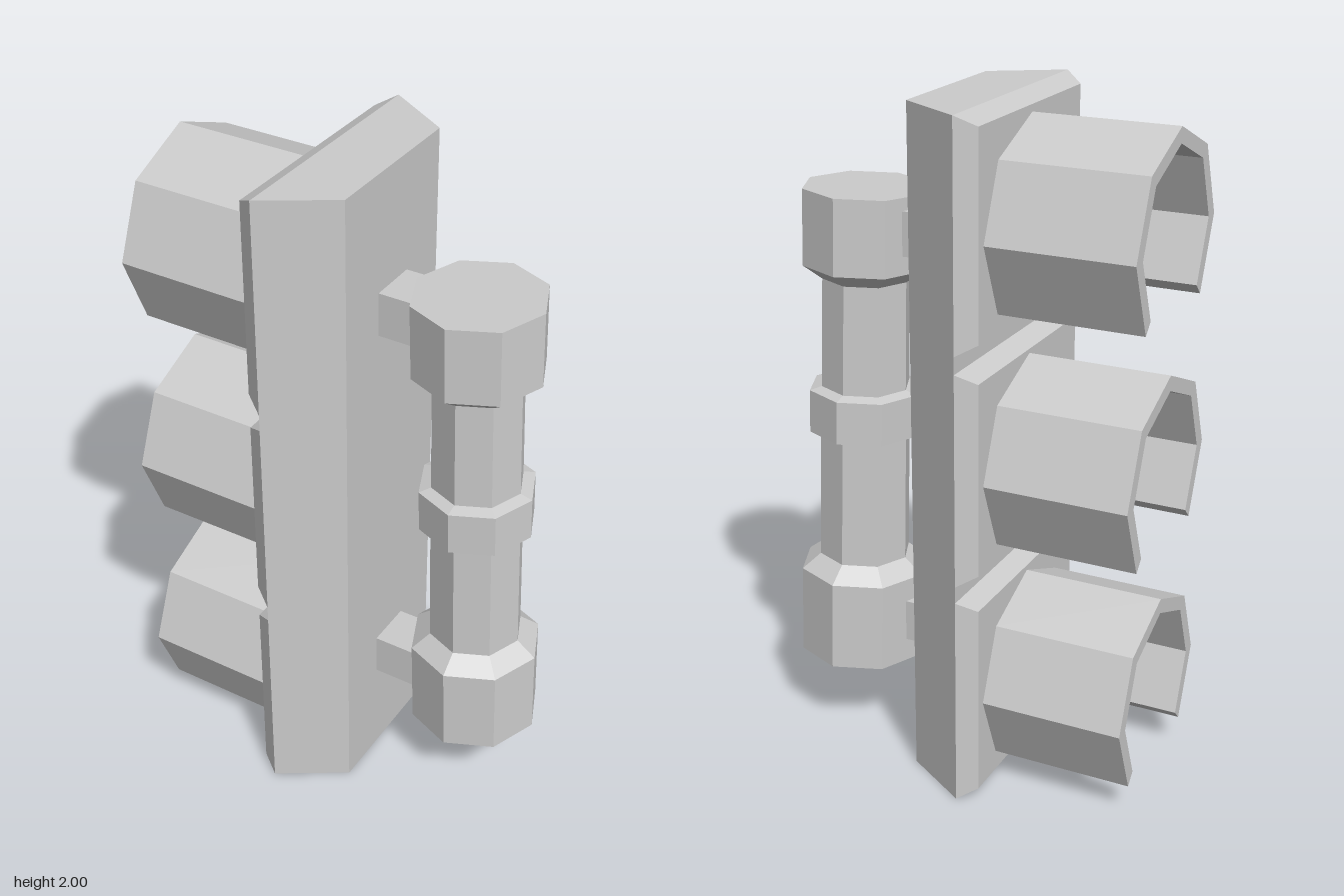
import * as THREE from 'three';

const material = new THREE.MeshStandardMaterial({ color: 0xcccccc, flatShading: true });

function add(parent, name, geometry, x = 0, y = 0, z = 0) {
  const mesh = new THREE.Mesh(geometry, material);
  mesh.name = name;
  mesh.position.set(x, y, z);
  parent.add(mesh);
  return mesh;
}

// Tapered housing extruded upward
function housingGeometry() {
  const shape = new THREE.Shape([
    new THREE.Vector2(-0.11, -0.36), new THREE.Vector2(0.087, -0.236),
    new THREE.Vector2(0.087, 0.236), new THREE.Vector2(-0.11, 0.36),
  ]);
  return new THREE.ExtrudeGeometry(shape, { depth: 2, bevelEnabled: false }).rotateX(-Math.PI / 2);
}

// Box whose -x face is inset on every side
function panelGeometry(height) {
  const inset = 0.035, depth = 0.055;
  const geometry = new THREE.BoxGeometry(depth, height, 0.72);
  const p = geometry.attributes.position;
  for (let i = 0; i < p.count; i++) {
    if (p.getX(i) > 0) continue;
    p.setY(i, p.getY(i) - Math.sign(p.getY(i)) * inset * 0.85);
    p.setZ(i, p.getZ(i) - Math.sign(p.getZ(i)) * inset);
  }
  return geometry;
}

// Six sides of an octagonal tube, open at the bottom
function visorGeometry() {
  const outer = [], inner = [];
  for (let i = 0; i <= 6; i++) {
    const a = (i - 1) * Math.PI / 4;
    outer.push(new THREE.Vector2(Math.cos(a), Math.sin(a)).multiplyScalar(0.295));
    inner.unshift(new THREE.Vector2(Math.cos(a), Math.sin(a)).multiplyScalar(0.25));
  }
  const shape = new THREE.Shape([...outer, ...inner]);
  return new THREE.ExtrudeGeometry(shape, { depth: 0.425, bevelEnabled: false }).rotateY(-Math.PI / 2);
}

// Octagonal post with collars, given as [radius, height]
function postGeometry() {
  const profile = [
    [0, 0], [0.197, 0], [0.197, 0.275], [0.14, 0.32],
    [0.137, 0.715], [0.17, 0.722], [0.17, 0.852], [0.134, 0.862],
    [0.131, 1.19], [0.188, 1.232], [0.188, 1.455], [0, 1.455],
  ];
  return new THREE.LatheGeometry(profile.map(([r, y]) => new THREE.Vector2(r, y)), 8);
}

export function createModel() {
  const model = new THREE.Group();
  model.name = 'signalLight';

  add(model, 'housing', housingGeometry());

  // Three lamps: panel bottom, panel top, lamp centre
  const lamps = [[0, 0.64, 0.3], [0.69, 1.315, 0.978], [1.365, 2, 1.655]];
  const visor = visorGeometry();
  const lens = new THREE.CylinderGeometry(0.247, 0.247, 0.06, 8).rotateZ(Math.PI / 2);
  lamps.forEach(([bottom, top, centre]) => {
    const lamp = new THREE.Group();
    lamp.name = 'lamp';
    add(lamp, 'panel', panelGeometry(top - bottom), -0.1375, (bottom + top) / 2);
    add(lamp, 'visor', visor, -0.16, centre);
    add(lamp, 'lens', lens, -0.188, centre);
    model.add(lamp);
  });

  // Slightly leaning post
  const base = new THREE.Vector3(0.382, 0.24, -0.023);
  const tip = new THREE.Vector3(0.349, 1.695, 0.004);
  const post = add(model, 'post', postGeometry(), base.x, base.y, base.z);
  post.quaternion.setFromUnitVectors(new THREE.Vector3(0, 1, 0), tip.sub(base).normalize());

  // Brackets joining housing and post
  for (const [y, reach] of [[0.375, 0.24], [1.59, 0.21]]) {
    const length = reach - 0.08;
    add(model, 'bracket', new THREE.BoxGeometry(length, 0.13, 0.147), 0.08 + length / 2, y);
  }
  return model;
}
